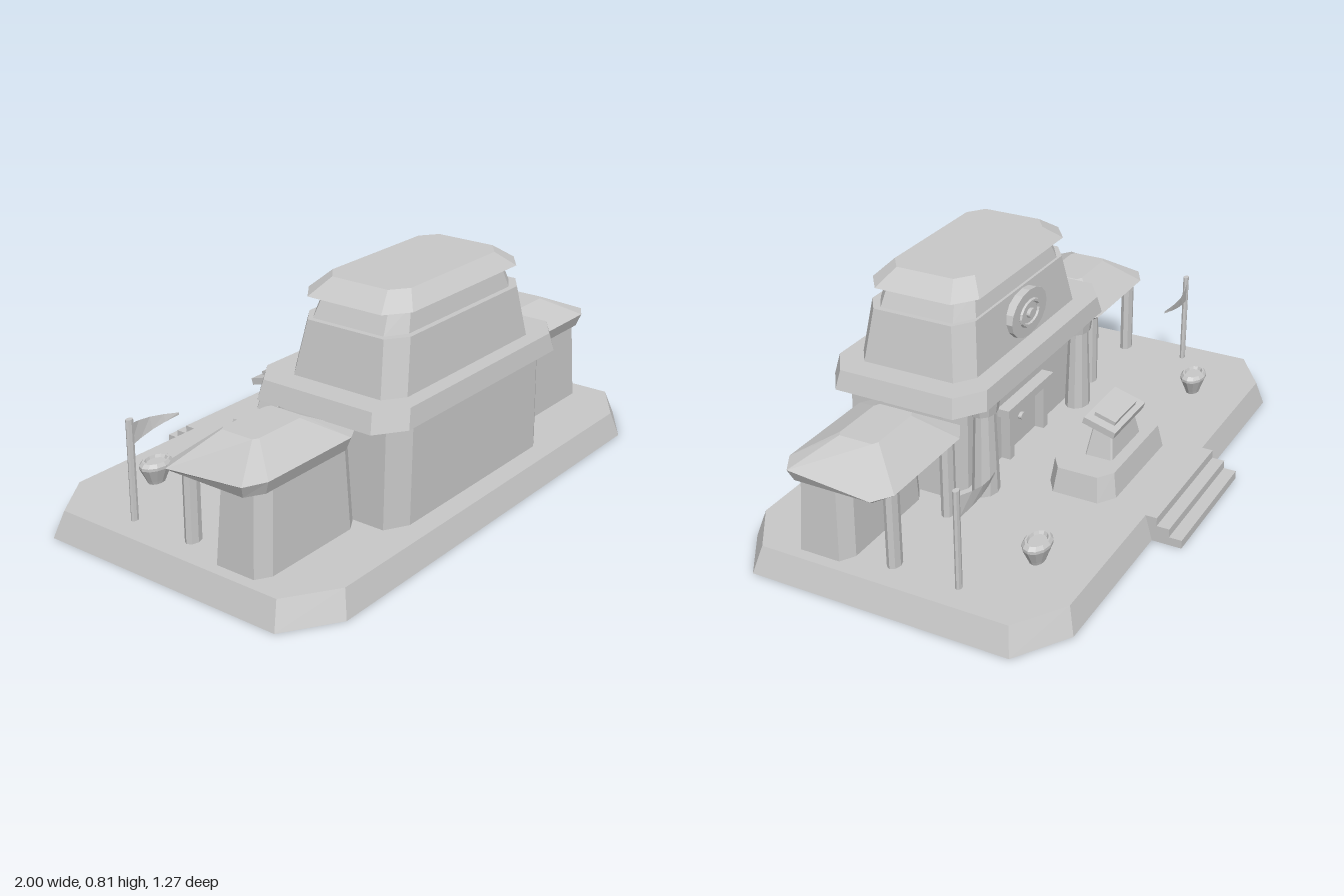
import * as THREE from 'three';

const stone = new THREE.MeshStandardMaterial({ color: 0xc8c8c8, flatShading: true, side: THREE.DoubleSide });
stone.name = 'pale stone';

// Loft through chamfered rectangles: [y, x0, x1, z0, z1, chamferX, chamferZ, rise toward z1]
function loft(rings, openBase = false) {
  const loops = rings.map(([y, x0, x1, z0, z1, cx, cz, rise = 0]) => [
    [x1, z0 + cz], [x1, z1 - cz], [x1 - cx, z1], [x0 + cx, z1],
    [x0, z1 - cz], [x0, z0 + cz], [x0 + cx, z0], [x1 - cx, z0],
  ].map(([x, z]) => [x, y + rise * (z - z0) / (z1 - z0), z]));
  const pos = [];
  const tri = (...pts) => pts.forEach((p) => pos.push(...p));
  for (let r = 0; r < loops.length - 1; r++) {
    const lo = loops[r], hi = loops[r + 1];
    for (let i = 0; i < 8; i++) {
      const j = (i + 1) % 8;
      tri(lo[i], hi[i], lo[j]);
      tri(lo[j], hi[i], hi[j]);
    }
  }
  const base = loops[0], top = loops[loops.length - 1];
  for (let i = 1; i < 7; i++) {
    if (!openBase) tri(base[0], base[i], base[i + 1]);
    tri(top[0], top[i + 1], top[i]);
  }
  const geo = new THREE.BufferGeometry();
  geo.setAttribute('position', new THREE.Float32BufferAttribute(pos, 3));
  geo.computeVertexNormals();
  return geo;
}

function add(parent, name, geo, x = 0, y = 0, z = 0) {
  const mesh = new THREE.Mesh(geo, stone);
  mesh.name = name;
  mesh.position.set(x, y, z);
  parent.add(mesh);
  return mesh;
}

const box = (w, h, d) => new THREE.BoxGeometry(w, h, d);

// Upright round part, stretched sideways
function round(rTop, rBottom, h, sides, stretch) {
  return new THREE.CylinderGeometry(rTop, rBottom, h, sides).scale(stretch, 1, 1);
}

// Oval disc standing upright, thickness along z
function disc(r, depth) {
  return new THREE.CylinderGeometry(r, r, depth, 16).rotateX(Math.PI / 2).scale(1.5, 1, 1);
}

function addPlatform(g) {
  // Hollow underneath
  add(g, 'platform', loft([
    [0, -1, 1, -0.53, 0.635, 0.18, 0.12],
    [0.09, -0.965, 0.965, -0.505, 0.61, 0.17, 0.115],
  ], true));
  for (let i = 0; i < 3; i++) {
    const front = -0.635 + i * 0.045;
    add(g, 'step', box(0.49, 0.03, -0.505 - front), 0, 0.015 + i * 0.03, (front - 0.505) / 2);
  }
}

function addHall(g) {
  add(g, 'hallWalls', loft([
    [0.09, -0.45, 0.45, 0.09, 0.535, 0.08, 0.045],
    [0.44, -0.44, 0.44, 0.09, 0.535, 0.08, 0.045],
  ]));
  add(g, 'lowerRoof', loft([
    [0.44, -0.525, 0.525, -0.02, 0.565, 0.1, 0.07],
    [0.505, -0.505, 0.505, -0.01, 0.555, 0.1, 0.07],
  ]));
  add(g, 'upperStorey', loft([
    [0.505, -0.415, 0.415, 0.06, 0.5, 0.07, 0.05],
    [0.685, -0.375, 0.375, 0.085, 0.48, 0.07, 0.05],
  ]));
  add(g, 'attic', loft([
    [0.685, -0.355, 0.355, 0.095, 0.46, 0.07, 0.045],
    [0.765, -0.315, 0.315, 0.115, 0.445, 0.06, 0.04],
  ]));
  add(g, 'topRoof', loft([
    [0.76, -0.375, 0.375, 0.075, 0.48, 0.08, 0.06],
    [0.812, -0.295, 0.295, 0.125, 0.43, 0.06, 0.045],
  ]));

  // Oval emblem above the entrance
  add(g, 'emblemDisc', disc(0.083, 0.03), 0, 0.598, 0.066);
  add(g, 'emblemRing', new THREE.TorusGeometry(0.042, 0.007, 6, 16).scale(1.5, 1, 1), 0, 0.598, 0.05);
  add(g, 'emblemBoss', disc(0.016, 0.016), 0, 0.598, 0.046);

  // Entrance frame
  for (const s of [-1, 1]) add(g, 'doorPost', box(0.03, 0.18, 0.05), s * 0.125, 0.18, 0.08);
  add(g, 'doorLintel', box(0.33, 0.03, 0.06), 0, 0.28, 0.075);
  add(g, 'doorKnob', disc(0.012, 0.015), 0, 0.19, 0.085);

  // Entrance columns with capitals
  for (const s of [-1, 1]) {
    add(g, 'column', round(0.034, 0.045, 0.31, 10, 1.3), s * 0.345, 0.235, 0.035);
    add(g, 'columnCapital', round(0.049, 0.042, 0.05, 10, 1.35), s * 0.345, 0.415, 0.035);
  }
}

function addWing(g, s) {
  // Mirrored extents keep the face order intact
  const ring = (y, a, b, ...rest) => [y, s > 0 ? a : -b, s > 0 ? b : -a, ...rest];
  add(g, 'wingWalls', loft([
    ring(0.085, 0.455, 0.925, 0.2, 0.405, 0.05, 0.03),
    ring(0.365, 0.47, 0.905, 0.21, 0.395, 0.05, 0.03),
  ]));
  // Eave dips toward the porch side
  add(g, 'wingRoof', loft([
    ring(0.36, 0.455, 0.945, 0.045, 0.395, 0.06, 0.035),
    ring(0.37, 0.44, 0.963, 0.033, 0.412, 0.07, 0.04, 0.035),
    ring(0.47, 0.585, 0.81, 0.15, 0.29, 0.02, 0.01),
  ]));
  for (const x of [0.53, 0.855]) {
    add(g, 'porchPost', round(0.022, 0.022, 0.285, 8, 1.45), s * x, 0.2275, 0.07);
  }
}

function addAltar(g) {
  add(g, 'altarBase', loft([
    [0.09, -0.255, 0.255, -0.375, -0.13, 0.06, 0.04],
    [0.175, -0.235, 0.235, -0.36, -0.14, 0.055, 0.038],
  ]));
  add(g, 'altarPedestal', loft([
    [0.175, -0.115, 0.115, -0.32, -0.22, 0.005, 0.005],
    [0.28, -0.085, 0.085, -0.305, -0.235, 0.005, 0.005],
  ]));
  const top = new THREE.Group();
  top.name = 'altarTop';
  top.position.set(0, 0.293, -0.272);
  top.rotation.x = -0.28;
  add(top, 'altarSlab', box(0.245, 0.024, 0.12));
  add(top, 'altarPlate', box(0.17, 0.014, 0.078), 0, 0.019, 0);
  g.add(top);
}

function addBrazier(g, s) {
  const profile = [[0, 0], [0.024, 0], [0.028, 0.012], [0.045, 0.058], [0.045, 0.068],
    [0.037, 0.08], [0.031, 0.08], [0.027, 0.07], [0, 0.07]];
  const geo = new THREE.LatheGeometry(profile.map(([r, y]) => new THREE.Vector2(r, y)), 12);
  add(g, 'brazier', geo.scale(1.45, 1, 1), s * 0.63, 0.09, -0.31);
}

function addFlag(g, s) {
  add(g, 'flagPole', round(0.01, 0.01, 0.345, 8, 1.45), s * 0.87, 0.2625, -0.168);
  // Waving pennant tapering toward the middle of the court
  const geo = new THREE.PlaneGeometry(1, 1, 4, 1);
  const p = geo.attributes.position;
  for (let i = 0; i < p.count; i++) {
    const t = p.getX(i) + 0.5;
    const edge = Math.sign(p.getY(i));
    const half = 0.034 * (1 - t) + 0.004;
    const wave = (0.016 + 0.004 * edge) * Math.sin(t * Math.PI);
    p.setXYZ(i, s * (0.865 - 0.215 * t), 0.376 + edge * half, -0.174 - wave);
  }
  geo.computeVertexNormals();
  add(g, 'pennant', geo);
}

export function createModel() {
  const model = new THREE.Group();
  model.name = 'temple';
  addPlatform(model);
  addHall(model);
  addAltar(model);
  for (const s of [-1, 1]) {
    addWing(model, s);
    addBrazier(model, s);
    addFlag(model, s);
  }
  return model;
}
